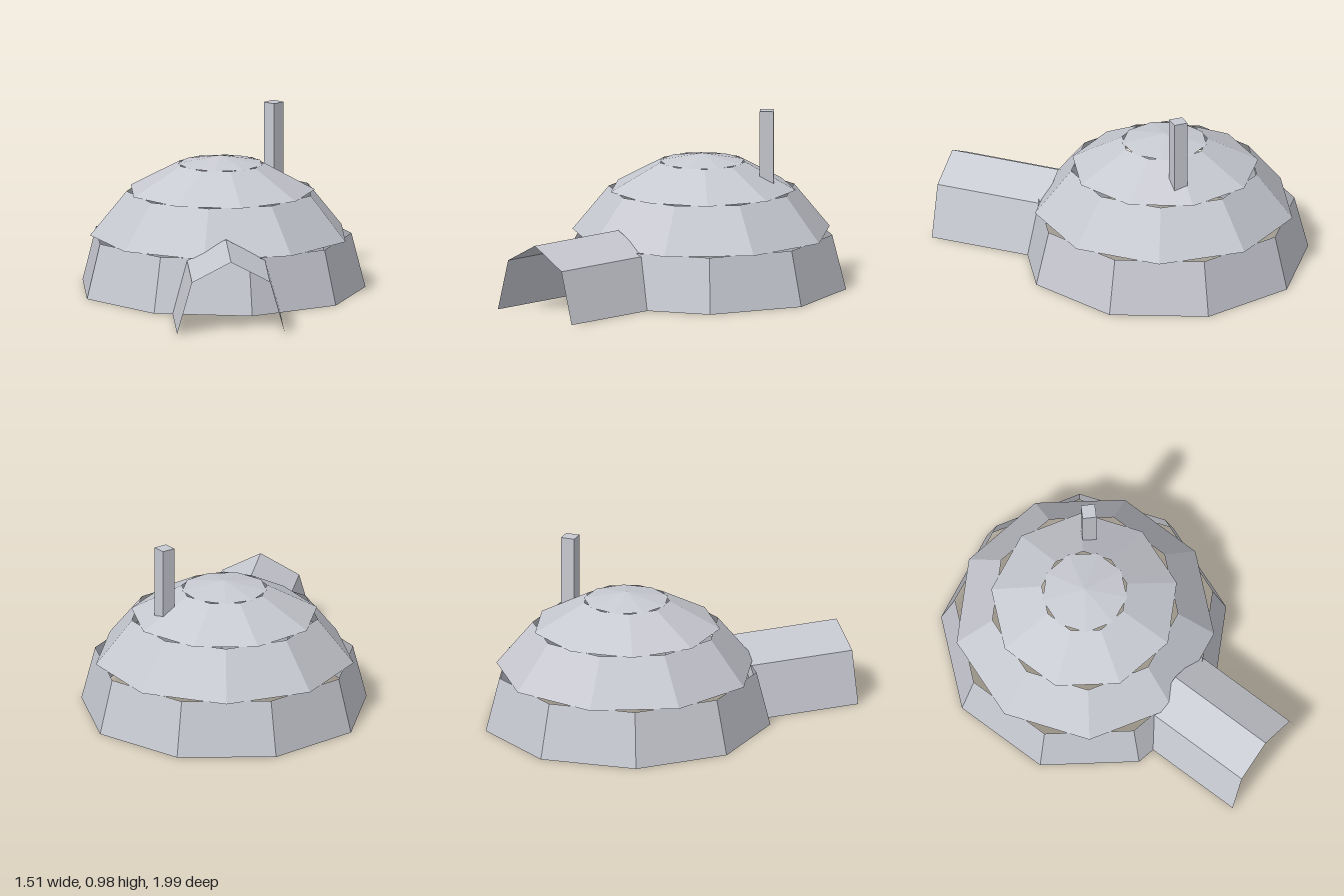
import * as THREE from 'three';

const CX = -0.026, CZ = -0.23; // dome axis

export function createModel() {
  const group = new THREE.Group();
  const snow = new THREE.MeshStandardMaterial({ color: 0xc8cad2, flatShading: true, side: THREE.DoubleSide });
  snow.name = 'paleSnow';

  const add = (name, geometry, x = 0, y = 0, z = 0) => {
    const mesh = new THREE.Mesh(geometry, snow);
    mesh.name = name;
    mesh.position.set(x, y, z);
    group.add(mesh);
    return mesh;
  };

  // Open nine-sided dome courses, each turned half a turn from the one below
  const courses = [
    ['lowerWall', 0, 0.776, 0.295, 0.701],
    ['middleWall', 0.295, 0.701, 0.535, 0.505],
    ['upperWall', 0.535, 0.505, 0.683, 0.232],
    ['domeCap', 0.683, 0.23, 0.727, 0],
  ];
  courses.forEach(([name, y0, r0, y1, r1], i) => {
    const start = i % 2 ? -Math.PI / 2 : Math.PI / 2;
    add(name, new THREE.CylinderGeometry(r1, r0, y1 - y0, 9, 1, true, start), CX, (y0 + y1) / 2, CZ);
  });

  // Entrance tunnel: a thin folded shell, open below and at both ends
  const profile = [[-0.315, 0], [-0.235, 0.28], [-0.026, 0.39], [0.183, 0.28], [0.263, 0]];
  const back = 0.385, front = 1;
  const positions = [];
  for (let i = 0; i < profile.length - 1; i++) {
    const [ax, ay] = profile[i], [bx, by] = profile[i + 1];
    positions.push(
      ax, ay, back, ax, ay, front, bx, by, front,
      ax, ay, back, bx, by, front, bx, by, back,
    );
  }
  const tunnel = new THREE.BufferGeometry();
  tunnel.setAttribute('position', new THREE.Float32BufferAttribute(positions, 3));
  tunnel.computeVertexNormals();
  add('entranceTunnel', tunnel);

  // Square chimney standing corner-on
  const chimney = add('chimney', new THREE.BoxGeometry(0.075, 0.405, 0.075), 0.267, 0.7725, -0.43);
  chimney.rotation.y = Math.PI / 4;

  return group;
}
